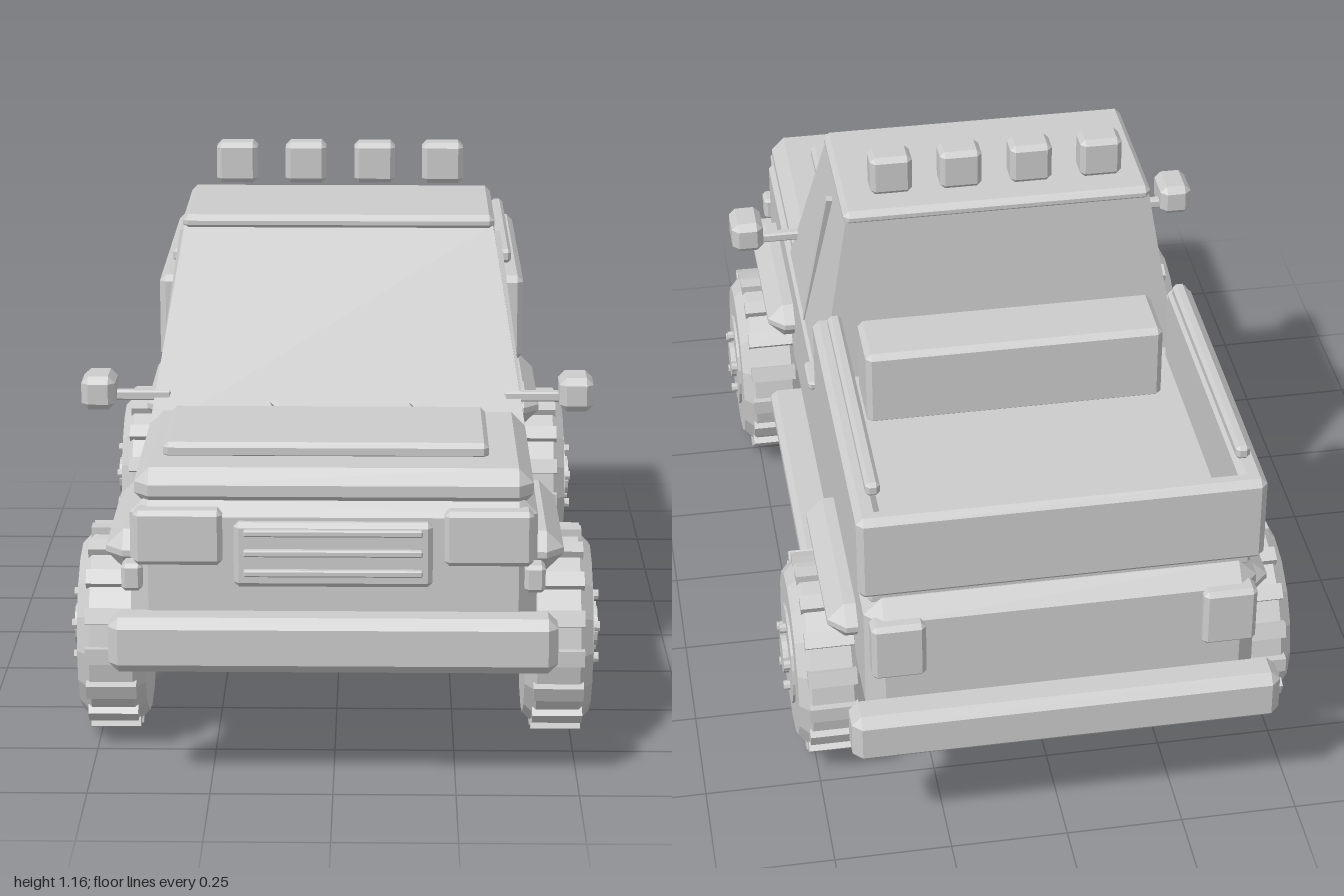
import * as THREE from 'three';
import { ConvexGeometry } from 'three/addons/geometries/ConvexGeometry.js';

const paint = new THREE.MeshStandardMaterial({ color: 0xcccccc });
paint.name = 'plain grey';

function add(parent, name, geometry) {
  const mesh = new THREE.Mesh(geometry, paint);
  mesh.name = name;
  parent.add(mesh);
  return mesh;
}

function facet(geometry) {
  const g = geometry.index ? geometry.toNonIndexed() : geometry;
  g.computeVertexNormals();
  return g;
}

// Box given by its limits on each axis, with every edge chamfered by c
function chamferBox([x0, x1], [y0, y1], [z0, z1], c) {
  const h = [(x1 - x0) / 2, (y1 - y0) / 2, (z1 - z0) / 2];
  const points = [];
  for (const sx of [-1, 1]) for (const sy of [-1, 1]) for (const sz of [-1, 1]) {
    for (let full = 0; full < 3; full++) {
      const [a, b, d] = h.map((v, i) => (i === full ? v : v - c));
      points.push(new THREE.Vector3(sx * a, sy * b, sz * d));
    }
  }
  return new ConvexGeometry(points).translate((x0 + x1) / 2, (y0 + y1) / 2, (z0 + z1) / 2);
}

// Same box on both sides; x limits are given for the left (+x) side
function addPair(parent, name, [x0, x1], y, z, c) {
  add(parent, name + 'Left', chamferBox([x0, x1], y, z, c));
  add(parent, name + 'Right', chamferBox([-x1, -x0], y, z, c));
}

// Thin square bar between two points
function bar(a, b, width) {
  const from = new THREE.Vector3(...a), to = new THREE.Vector3(...b);
  const dir = to.clone().sub(from);
  const g = new THREE.BoxGeometry(width, dir.length(), width);
  g.applyQuaternion(new THREE.Quaternion().setFromUnitVectors(
    new THREE.Vector3(0, 1, 0), dir.normalize()));
  const mid = from.add(to).multiplyScalar(0.5);
  return g.translate(mid.x, mid.y, mid.z);
}

// Wheel with its axle along x and its outer face towards +x
function makeWheel() {
  const wheel = new THREE.Group();
  const sides = 16;
  const profile = [[0, -0.07], [0.185, -0.07], [0.208, -0.045], [0.208, 0.045], [0.18, 0.072], [0, 0.072]]
    .map(([r, x]) => new THREE.Vector2(r, x));
  add(wheel, 'tire', facet(new THREE.LatheGeometry(profile, sides)).rotateZ(-Math.PI / 2));
  for (let i = 0; i < sides; i++) {
    const tread = new THREE.BoxGeometry(0.105, 0.03, 0.034).translate(0, -0.205, 0);
    add(wheel, 'tread', tread.rotateX((i / sides) * Math.PI * 2));
  }
  const disc = (name, r, x0, x1, n) => add(wheel, name,
    facet(new THREE.CylinderGeometry(r, r, x1 - x0, n)).rotateZ(-Math.PI / 2).translate((x0 + x1) / 2, 0, 0));
  disc('rim', 0.11, 0.06, 0.078, 20);
  disc('hub', 0.043, 0.07, 0.09, 14);
  for (let i = 0; i < 5; i++) {
    const a = (i / 5) * Math.PI * 2;
    disc('bolt', 0.011, 0.07, 0.092, 8).position.set(0, 0.07 * Math.cos(a), 0.07 * Math.sin(a));
  }
  return wheel;
}

export function createModel() {
  const truck = new THREE.Group();
  truck.name = 'pickupTruck';

  // Chassis and body
  add(truck, 'chassis', chamferBox([-0.375, 0.375], [0.215, 0.33], [-0.88, 0.89], 0.025));
  add(truck, 'body', chamferBox([-0.412, 0.412], [0.29, 0.605], [-0.93, 0.935], 0.038));
  add(truck, 'hood', chamferBox([-0.403, 0.403], [0.575, 0.658], [0.42, 0.918], 0.03));
  add(truck, 'hoodPanel', chamferBox([-0.35, 0.315], [0.65, 0.685], [0.5, 0.805], 0.01));
  addPair(truck, 'sideStep', [0.36, 0.478], [0.22, 0.272], [-0.37, 0.365], 0.014);

  // Tapered cab and roof
  const cabCorners = [];
  for (const s of [-1, 1]) {
    cabCorners.push(
      new THREE.Vector3(s * 0.408, 0.6, 0.45), new THREE.Vector3(s * 0.408, 0.6, -0.135),
      new THREE.Vector3(s * 0.336, 1.025, 0.24), new THREE.Vector3(s * 0.336, 1.025, -0.11));
  }
  add(truck, 'cab', new ConvexGeometry(cabCorners));
  add(truck, 'roof', chamferBox([-0.34, 0.34], [1.012, 1.045], [-0.115, 0.25], 0.012));
  for (const x of [-0.233, -0.078, 0.077, 0.23]) {
    add(truck, 'roofLight', chamferBox([x - 0.046, x + 0.046], [1.065, 1.156], [-0.085, -0.018], 0.011));
  }
  for (const x of [-0.11, 0.19]) {
    add(truck, 'wiper', bar([x, 0.655, 0.475], [x - 0.03, 0.67, 0.42], 0.01));
  }

  // Door trim, mirrors and handles
  for (const s of [-1, 1]) {
    add(truck, 'doorPillar', bar([s * 0.403, 0.6, 0.165], [s * 0.35, 0.975, 0.07], 0.016));
  }
  addPair(truck, 'doorHandle', [0.4, 0.428], [0.568, 0.59], [-0.085, 0.005], 0.006);
  addPair(truck, 'mirrorArm', [0.36, 0.49], [0.67, 0.692], [0.39, 0.412], 0.004);
  addPair(truck, 'mirror', [0.476, 0.549], [0.66, 0.734], [0.365, 0.467], 0.015);

  // Cargo bed with rails and toolbox
  add(truck, 'bedFloor', chamferBox([-0.4, 0.4], [0.59, 0.64], [-0.89, -0.14], 0.008));
  addPair(truck, 'bedWall', [0.37, 0.423], [0.618, 0.818], [-0.912, -0.163], 0.014);
  add(truck, 'tailgate', chamferBox([-0.42, 0.42], [0.618, 0.818], [-0.912, -0.865], 0.014));
  addPair(truck, 'bedRail', [0.366, 0.396], [0.836, 0.868], [-0.855, -0.23], 0.008);
  add(truck, 'toolbox', chamferBox([-0.33, 0.325], [0.63, 0.81], [-0.325, -0.17], 0.012));

  // Bumpers, grille and lamps
  add(truck, 'frontBumper', chamferBox([-0.453, 0.453], [0.255, 0.37], [0.91, 1], 0.02));
  add(truck, 'rearBumper', chamferBox([-0.453, 0.453], [0.255, 0.37], [-1, -0.91], 0.02));
  add(truck, 'grille', chamferBox([-0.2, 0.2], [0.425, 0.56], [0.9, 0.955], 0.01));
  for (const y of [0.458, 0.5, 0.542]) {
    add(truck, 'grilleSlat', chamferBox([-0.18, 0.18], [y - 0.007, y + 0.007], [0.94, 0.968], 0.003));
  }
  addPair(truck, 'headlight', [0.223, 0.402], [0.47, 0.584], [0.9, 0.955], 0.01);
  addPair(truck, 'indicator', [0.385, 0.427], [0.415, 0.472], [0.9, 0.953], 0.008);
  addPair(truck, 'tailLight', [0.29, 0.403], [0.437, 0.572], [-0.953, -0.9], 0.01);

  // Wheels and fenders
  for (const [place, z] of [['front', 0.578], ['rear', -0.57]]) {
    addPair(truck, place + 'Fender', [0.33, 0.473], [0.405, 0.49], [z - 0.222, z + 0.222], 0.036);
    for (const s of [-1, 1]) {
      const wheel = makeWheel();
      wheel.name = place + (s > 0 ? 'LeftWheel' : 'RightWheel');
      wheel.position.set(s * 0.467, 0.22, z);
      if (s < 0) wheel.rotation.y = Math.PI;
      truck.add(wheel);
    }
  }
  return truck;
}
